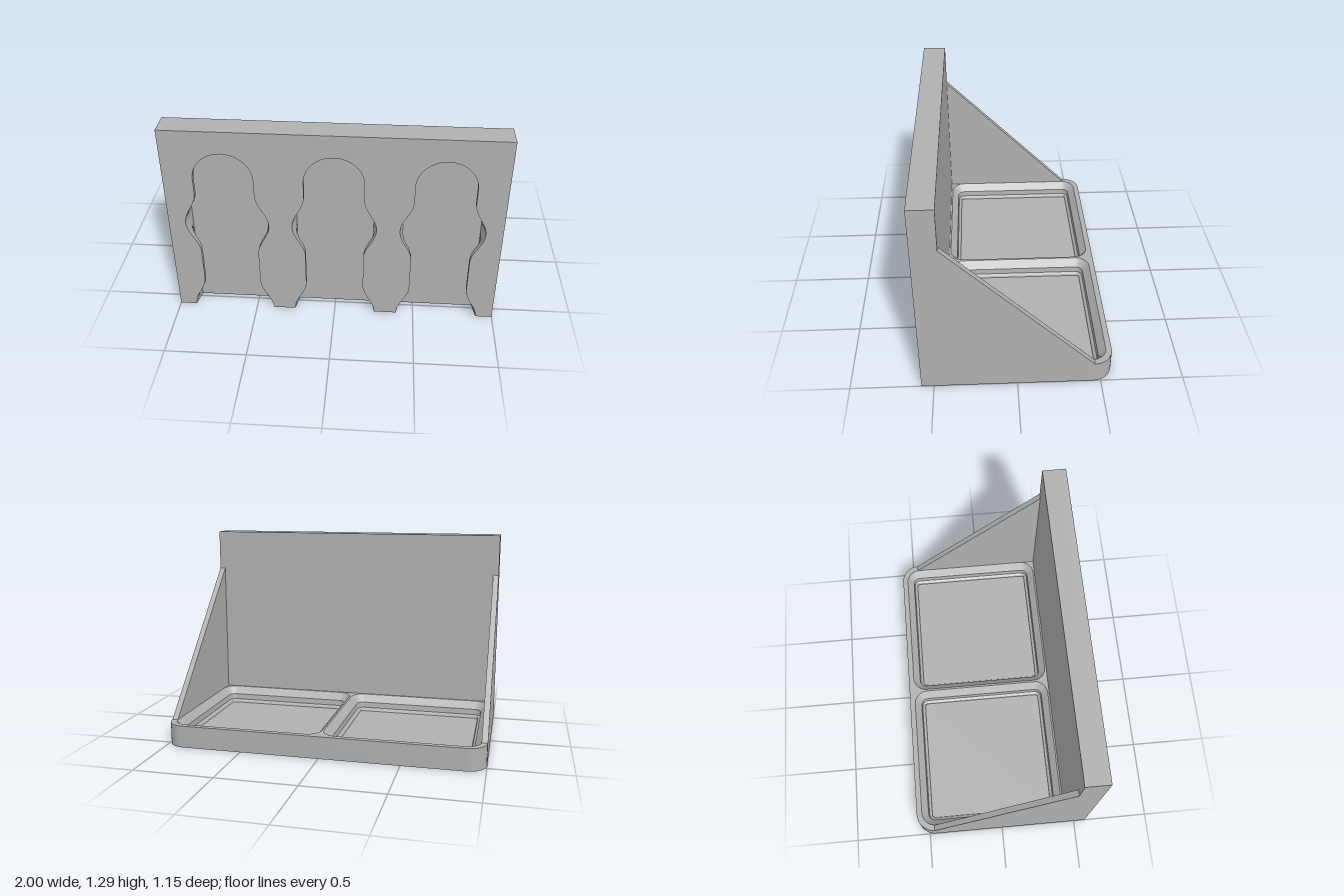
import * as THREE from 'three';
import { toCreasedNormals } from 'three/addons/utils/BufferGeometryUtils.js';

const BACK = 0.425, FRONT = 0.575, TOP = 1.29, RIM = 0.14;
const V = (x, y, z) => new THREE.Vector3(x, y, z);

// Surface through a list of equally long loops
function loft(loops, closed = false) {
  const pos = [];
  for (let i = 0; i < loops.length - 1; i++) {
    const n = loops[i].length;
    for (let j = 0; j < (closed ? n : n - 1); j++) {
      const k = (j + 1) % n;
      const [a, b, c, d] = [loops[i][j], loops[i][k], loops[i + 1][k], loops[i + 1][j]];
      for (const p of [a, b, d, b, c, d]) pos.push(p.x, p.y, p.z);
    }
  }
  const g = new THREE.BufferGeometry();
  g.setAttribute('position', new THREE.Float32BufferAttribute(pos, 3));
  return toCreasedNormals(g, 0.6);
}

const shapeOf = pts => new THREE.Shape(pts.map(([x, y]) => new THREE.Vector2(x, y)));

// Horizontal faces from [x, z] points
function faceUp(pts, y, holes = []) {
  const flip = list => list.map(([x, z]) => [x, -z]);
  const s = shapeOf(flip(pts));
  s.holes = holes.map(h => shapeOf(flip(h)));
  return new THREE.ShapeGeometry(s).rotateX(-Math.PI / 2).translate(0, y, 0);
}
const faceDown = pts => new THREE.ShapeGeometry(shapeOf(pts)).rotateX(Math.PI / 2);

// Rounded corner as [x, z] points, counter-clockwise from above
function corner(cx, cz, r, start) {
  return Array.from({ length: 9 }, (_, i) => {
    const a = start + (i / 8) * Math.PI / 2;
    return [cx + r * Math.cos(a), cz - r * Math.sin(a)];
  });
}
function roundedRect(x0, x1, z0, z1, r) {
  const q = Math.PI / 2;
  return [
    ...corner(x1 - r, z0 + r, r, 0), ...corner(x0 + r, z0 + r, r, q),
    ...corner(x0 + r, z1 - r, r, 2 * q), ...corner(x1 - r, z1 - r, r, 3 * q),
  ];
}

// Hanging slot: undercut track with round entries at two heights.
// Each layer is [depth, track half width, entry radius].
const layers = [[0, 0.177, 0.253], [0.03, 0.177, 0.247], [0.072, 0.234, 0.239], [0.1, 0.234, 0.234]];
const slotX = [-0.645, 0, 0.645], ARCH = 0.97;
function halfWidth(y, [, base, entry]) {
  let w = base;
  for (const c of [0, 0.65]) {
    const t = Math.min(Math.abs(y - c) / 0.215, 1);
    w = Math.max(w, 0.177 + (entry - 0.177) * (0.5 + 0.5 * Math.cos(Math.PI * t)));
  }
  return w;
}
// Outline from right foot, over the arch, to left foot
function slotOutline(cx, layer) {
  const side = [], arch = [];
  for (let i = 0; i < 56; i++) {
    const y = ARCH * i / 56;
    side.push([halfWidth(y, layer), y]);
  }
  for (let i = 0; i <= 28; i++) {
    const a = Math.PI * i / 28;
    arch.push([layer[1] * Math.cos(a), ARCH + layer[1] * Math.sin(a)]);
  }
  const left = side.map(([x, y]) => [-x, y]).reverse();
  return [...side, ...arch, ...left].map(([x, y]) => [cx + x, y]);
}

export function createModel() {
  const group = new THREE.Group();
  const grey = new THREE.MeshStandardMaterial({ color: 0xb0b0b0, side: THREE.DoubleSide });
  grey.name = 'grey plastic';
  const add = (name, geometry) => {
    const m = new THREE.Mesh(geometry, grey);
    m.name = name;
    group.add(m);
  };

  // Mounting plate: front with slot openings, plain back, top and ends
  const front = [[-1, 0]];
  for (const x of slotX) front.push(...slotOutline(x, layers[0]).reverse());
  front.push([1, 0], [1, TOP], [-1, TOP]);
  add('plateFront', new THREE.ShapeGeometry(shapeOf(front)).translate(0, 0, FRONT));
  add('plateEdges', loft([
    [V(1, 0, FRONT), V(1, TOP, FRONT), V(-1, TOP, FRONT), V(-1, 0, FRONT)],
    [V(1, 0, BACK), V(1, TOP, BACK), V(-1, TOP, BACK), V(-1, 0, BACK)],
  ].reverse()));
  add('plateBack', new THREE.PlaneGeometry(2, TOP).rotateY(Math.PI).translate(0, TOP / 2, BACK));

  // Slots: undercut walls and floor
  for (const x of slotX) {
    add('slotWall', loft(layers.map(l => slotOutline(x, l).map(p => V(p[0], p[1], FRONT - l[0])))));
    add('slotFloor', new THREE.ShapeGeometry(shapeOf(slotOutline(x, layers[3])))
      .translate(0, 0, FRONT - layers[3][0]));
  }

  // Plate underside with notches where the slots run out
  const under = [[-1, BACK], [1, BACK], [1, FRONT]];
  for (const x of [...slotX].reverse()) {
    const right = layers.map(l => [x + halfWidth(0, l), FRONT - l[0]]);
    const left = layers.map(l => [x - halfWidth(0, l), FRONT - l[0]]).reverse();
    under.push(...right, ...left);
  }
  under.push([-1, FRONT]);
  add('plateUnderside', faceDown(under));

  // Tray body
  const r = 0.118, zc = -0.575 + r;
  const tray = [
    [1, BACK], ...corner(1 - r, zc, r, 0), ...corner(-1 + r, zc, r, Math.PI / 2), [-1, BACK],
  ];
  const pocket = (side, inset) => {
    const [x0, x1] = side < 0 ? [-0.963, -0.006] : [0.006, 0.963];
    return roundedRect(x0 + inset, x1 - inset, -0.54 + inset, 0.415 - inset, 0.09 - inset);
  };
  add('trayWall', loft([0, RIM].map(y => tray.map(([x, z]) => V(x, y, z)))));
  add('trayRim', faceUp(tray, RIM, [pocket(-1, 0), pocket(1, 0)]));
  add('trayUnderside', faceDown(tray));

  // Pockets: sloped lip, upright wall, small step, floor
  const steps = [[0, RIM], [0.043, 0.092], [0.047, 0.055], [0.062, 0.045], [0.066, 0.035]];
  for (const side of [-1, 1]) {
    add('pocketWall', loft(steps.map(([d, y]) => pocket(side, d).map(([x, z]) => V(x, y, z))), true));
    add('pocketFloor', faceUp(pocket(side, 0.066), 0.035));
  }

  // Triangular side braces
  const brace = shapeOf([[-0.46, RIM], [BACK, RIM], [BACK, 1.025]]);
  for (const x of [1, -0.963]) {
    add('sideBrace', new THREE.ExtrudeGeometry(brace, { depth: 0.037, bevelEnabled: false })
      .rotateY(-Math.PI / 2).translate(x, 0, 0));
  }
  return group;
}
